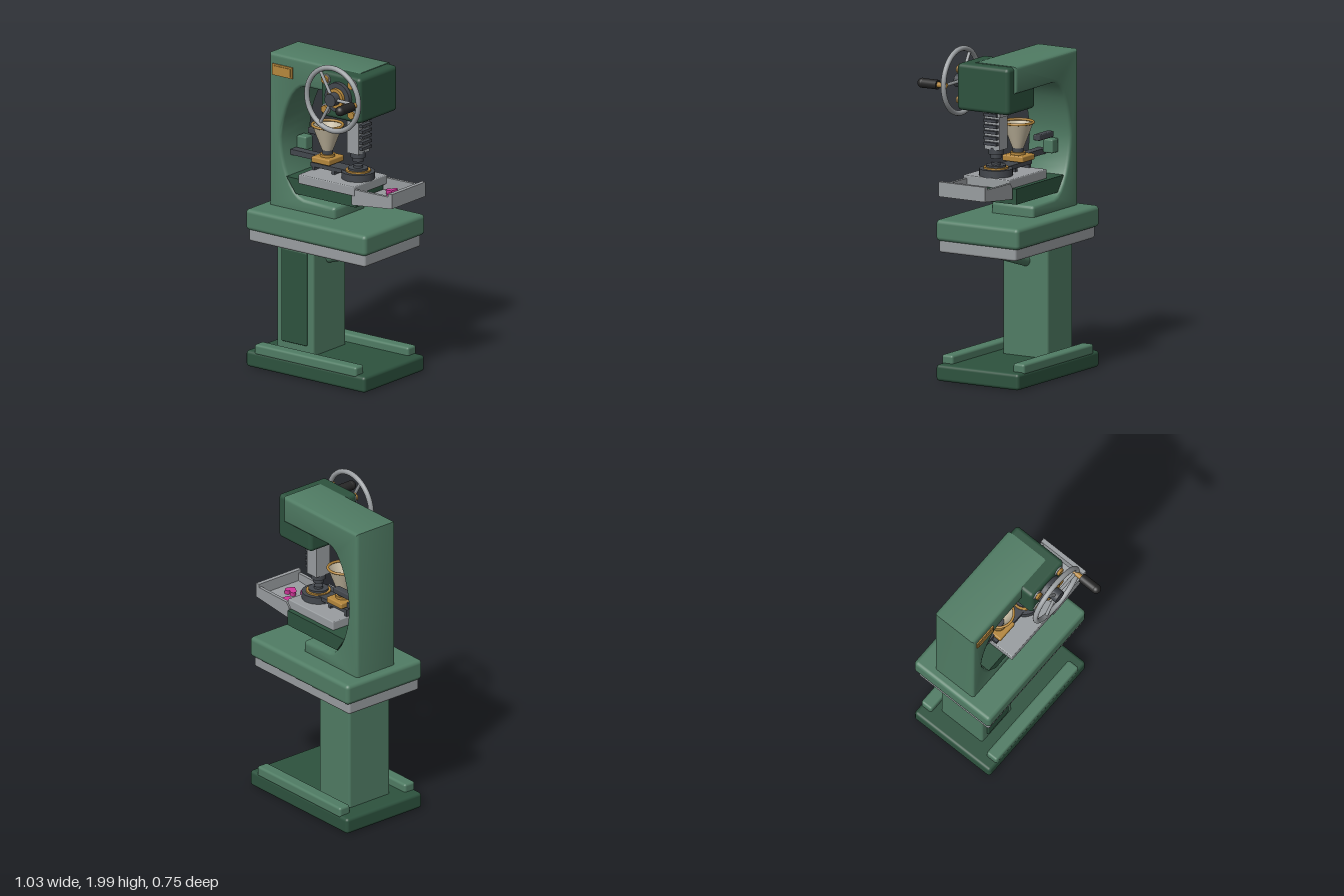
import * as THREE from 'three';
import { RoundedBoxGeometry } from 'three/addons/geometries/RoundedBoxGeometry.js';
import { toCreasedNormals } from 'three/addons/utils/BufferGeometryUtils.js';

const material = (name, color, side = THREE.FrontSide) => {
  const m = new THREE.MeshStandardMaterial({ color, side });
  m.name = name;
  return m;
};

export function createModel() {
  const green = material('green enamel', 0x507c64);
  const darkGreen = material('dark green enamel', 0x2d523e);
  const grey = material('grey metal', 0x999da0);
  const steel = material('dark steel', 0x43474d);
  const brass = material('brass', 0xb5873c);
  const cream = material('cream', 0xcabfa6, THREE.DoubleSide);
  const black = material('black grip', 0x262626);
  const pink = material('pink', 0xd0379a);

  const model = new THREE.Group();
  model.name = 'pressMachine';

  const add = (name, geometry, mat, x = 0, y = 0, z = 0, parent = model) => {
    const mesh = new THREE.Mesh(geometry, mat);
    mesh.name = name;
    mesh.position.set(x, y, z);
    parent.add(mesh);
    return mesh;
  };
  // box given by its limits, rounded when r > 0
  const box = (name, mat, [x0, x1], [y0, y1], [z0, z1], r = 0) => {
    const s = [x1 - x0, y1 - y0, z1 - z0];
    const g = r ? new RoundedBoxGeometry(...s, 3, r) : new THREE.BoxGeometry(...s);
    return add(name, g, mat, (x0 + x1) / 2, (y0 + y1) / 2, (z0 + z1) / 2);
  };
  // upright cylinder from y0 to y1
  const post = (name, mat, x, z, y0, y1, r0, r1 = r0, sides = 32) =>
    add(name, new THREE.CylinderGeometry(r1, r0, y1 - y0, sides), mat, x, (y0 + y1) / 2, z);
  // cylinder lying along z
  const disc = (name, mat, x, y, z0, z1, r, sides = 32) => {
    const g = new THREE.CylinderGeometry(r, r, z1 - z0, sides).rotateX(Math.PI / 2);
    return add(name, g, mat, x, y, (z0 + z1) / 2);
  };
  // side profile in x and y, extruded between z0 and z1 with an inset bevel
  const slab = (name, mat, shape, z0, z1, bevel = 0) => {
    const g = new THREE.ExtrudeGeometry(shape, {
      depth: z1 - z0 - 2 * bevel, bevelEnabled: bevel > 0, bevelSize: bevel,
      bevelThickness: bevel, bevelOffset: -bevel, bevelSegments: 3, curveSegments: 8,
    });
    return add(name, toCreasedNormals(g, 0.6), mat, 0, 0, z0 + bevel);
  };
  const polygon = (points) => new THREE.Shape(points.map(([x, y]) => new THREE.Vector2(x, y)));

  // base and pedestal
  box('base', darkGreen, [-0.51, 0.39], [0.005, 0.105], [-0.375, 0.21], 0.02);
  for (const z of [-0.335, 0.17])
    box('baseRail', green, [-0.445, 0.325], [0.09, 0.155], [z - 0.04, z + 0.04], 0.015);
  box('column', green, [-0.395, -0.115], [0.09, 0.8], [-0.26, 0.058], 0.015);
  box('columnPanel', darkGreen, [-0.35, -0.16], [0.16, 0.74], [0.04, 0.07], 0.008);
  const brace = add('brace', new THREE.CylinderGeometry(0.035, 0.035, 0.42, 24), green, 0.06, 0.742, -0.1);
  brace.rotation.z = -Math.PI / 2 + 0.3;

  // table
  box('tableTray', grey, [-0.5, 0.38], [0.785, 0.865], [-0.35, 0.195], 0.015);
  box('table', green, [-0.515, 0.395], [0.855, 0.985], [-0.375, 0.21], 0.025);

  // C-shaped frame
  const frame = new THREE.Shape();
  frame.moveTo(-0.46, 0.97);
  frame.lineTo(0.035, 0.97);
  frame.lineTo(0.035, 1.03);
  frame.quadraticCurveTo(0.035, 1.055, 0.01, 1.055);
  frame.lineTo(-0.2, 1.06);
  frame.bezierCurveTo(-0.3, 1.07, -0.375, 1.27, -0.375, 1.42);
  frame.bezierCurveTo(-0.365, 1.58, -0.28, 1.765, -0.19, 1.765);
  frame.lineTo(0.225, 1.765);
  frame.lineTo(0.225, 1.93);
  frame.lineTo(-0.46, 1.93);
  slab('frame', green, frame, -0.255, 0.045, 0.02);
  box('nameplateBorder', brass, [-0.43, -0.28], [1.8, 1.87], [0.044, 0.053]);
  box('nameplate', brass, [-0.42, -0.29], [1.81, 1.86], [0.052, 0.058]);

  // head with flange and bolts
  box('head', darkGreen, [-0.012, 0.29], [1.642, 1.926], [-0.24, 0.125], 0.025);
  const hx = 0.135, hy = 1.787;
  disc('headFlange', steel, hx, hy, 0.12, 0.152, 0.092);
  disc('headBearing', brass, hx, hy, 0.15, 0.172, 0.06);
  disc('wheelHub', steel, hx, hy, 0.165, 0.22, 0.04);
  for (const sx of [-1, 1])
    for (const sy of [-1, 1]) {
      disc('boltWasher', grey, hx + sx * 0.1, hy + sy * 0.092, 0.12, 0.132, 0.032, 20);
      disc('bolt', brass, hx + sx * 0.1, hy + sy * 0.092, 0.13, 0.148, 0.026, 6);
    }

  // hand wheel
  const wheel = new THREE.Group();
  wheel.name = 'handWheel';
  wheel.position.set(hx, hy, 0.192);
  model.add(wheel);
  add('wheelRim', new THREE.TorusGeometry(0.195, 0.016, 12, 48), grey, 0, 0, 0, wheel);
  for (let i = 0; i < 3; i++) {
    const a = i * Math.PI * 2 / 3;
    const spoke = add('spoke', new THREE.CylinderGeometry(0.01, 0.01, 0.17, 12), grey,
      0.11 * Math.cos(a), 0.11 * Math.sin(a), 0, wheel);
    spoke.rotation.z = a - Math.PI / 2;
  }
  disc('handlePin', brass, 0.315, hy, 0.18, 0.245, 0.016, 16);
  disc('handleGrip', black, 0.315, hy, 0.24, 0.35, 0.029, 24);
  add('handleEnd', new THREE.SphereGeometry(0.03, 24, 16), black, 0.315, hy, 0.35);

  // toothed ram and punch
  box('ramCollar', grey, [0.083, 0.187], [1.6, 1.65], [-0.115, 0.005]);
  box('ram', grey, [0.09, 0.178], [1.4, 1.62], [-0.108, -0.002]);
  for (let i = 0; i < 6; i++) {
    const y = 1.43 + i * 0.035;
    box('ramTooth', steel, [0.17, 0.204], [y, y + 0.018], [-0.1, -0.01]);
  }
  post('punchCollar', steel, hx, -0.055, 1.37, 1.41, 0.045);
  post('punch', steel, hx, -0.055, 1.345, 1.375, 0.033);

  // bed and lower die
  slab('bedBracket', darkGreen,
    polygon([[-0.325, 1.185], [-0.255, 1.09], [0.2, 1.09], [0.2, 1.185]]), -0.24, 0.05);
  box('bed', grey, [-0.185, 0.235], [1.182, 1.24], [-0.21, 0.115], 0.006);
  post('dieBase', steel, hx, -0.055, 1.235, 1.283, 0.1);
  post('dieRing', brass, hx, -0.055, 1.28, 1.293, 0.075);
  post('dieTop', steel, hx, -0.055, 1.285, 1.305, 0.06);
  post('dieBoss', steel, hx, -0.055, 1.3, 1.32, 0.028);
  box('feedPlate', steel, [-0.185, 0.1], [1.262, 1.287], [-0.105, -0.005]);
  for (const x of [-0.17, -0.02])
    box('feedFoot', steel, [x - 0.01, x + 0.01], [1.235, 1.265], [-0.1, -0.01]);

  // hopper and its holders
  const px = -0.1, pz = -0.06;
  box('hopperBlock', brass, [-0.17, -0.033], [1.293, 1.33], [-0.135, 0.012], 0.008);
  post('hopperSeat', brass, px, pz, 1.328, 1.345, 0.045);
  post('hopperNeck', steel, px, pz, 1.34, 1.375, 0.033);
  const cone = [[0.034, 1.37], [0.05, 1.41], [0.092, 1.522]].map(([r, y]) => new THREE.Vector2(r, y));
  add('hopper', new THREE.LatheGeometry(cone, 40), cream, px, 0, pz);
  add('hopperRim', new THREE.TorusGeometry(0.092, 0.008, 10, 40).rotateX(Math.PI / 2), brass, px, 1.524, pz);
  box('feedArm', steel, [-0.36, -0.16], [1.293, 1.327], [-0.09, -0.035]);
  box('guideBlock', green, [-0.37, -0.3], [1.31, 1.395], [-0.175, -0.105], 0.01);
  box('guideBar', steel, [-0.31, -0.15], [1.412, 1.448], [-0.18, -0.135], 0.006);

  // sloping catch tray
  const side = polygon([[0.21, 1.122], [0.515, 1.155], [0.515, 1.225], [0.235, 1.222], [0.21, 1.19]]);
  slab('traySide', grey, side, -0.22, -0.2);
  slab('traySide', grey, side, 0.087, 0.107);
  slab('trayFloor', grey, polygon([[0.21, 1.122], [0.51, 1.155], [0.51, 1.178], [0.21, 1.145]]), -0.205, 0.09);
  box('trayEnd', grey, [0.488, 0.515], [1.155, 1.245], [-0.22, 0.107]);

  // heart-shaped pieces in the tray
  const heart = new THREE.Shape();
  heart.moveTo(0, -0.036);
  heart.bezierCurveTo(0.012, -0.022, 0.036, -0.008, 0.036, 0.012);
  heart.bezierCurveTo(0.036, 0.036, 0.008, 0.038, 0, 0.016);
  heart.bezierCurveTo(-0.008, 0.038, -0.036, 0.036, -0.036, 0.012);
  heart.bezierCurveTo(-0.036, -0.008, -0.012, -0.022, 0, -0.036);
  const heartGeometry = new THREE.ExtrudeGeometry(heart, { depth: 0.025, bevelEnabled: false, curveSegments: 8 })
    .rotateX(-Math.PI / 2);
  for (const [x, z, turn] of [[0.33, -0.132, 0.65], [0.4, -0.043, 0.3], [0.328, 0.018, -0.15]]) {
    const piece = add('heartPiece', heartGeometry, pink, x, 1.145 + (x - 0.21) * 0.11, z);
    piece.rotation.set(0, turn, 0.11, 'ZYX');
  }
  return model;
}
